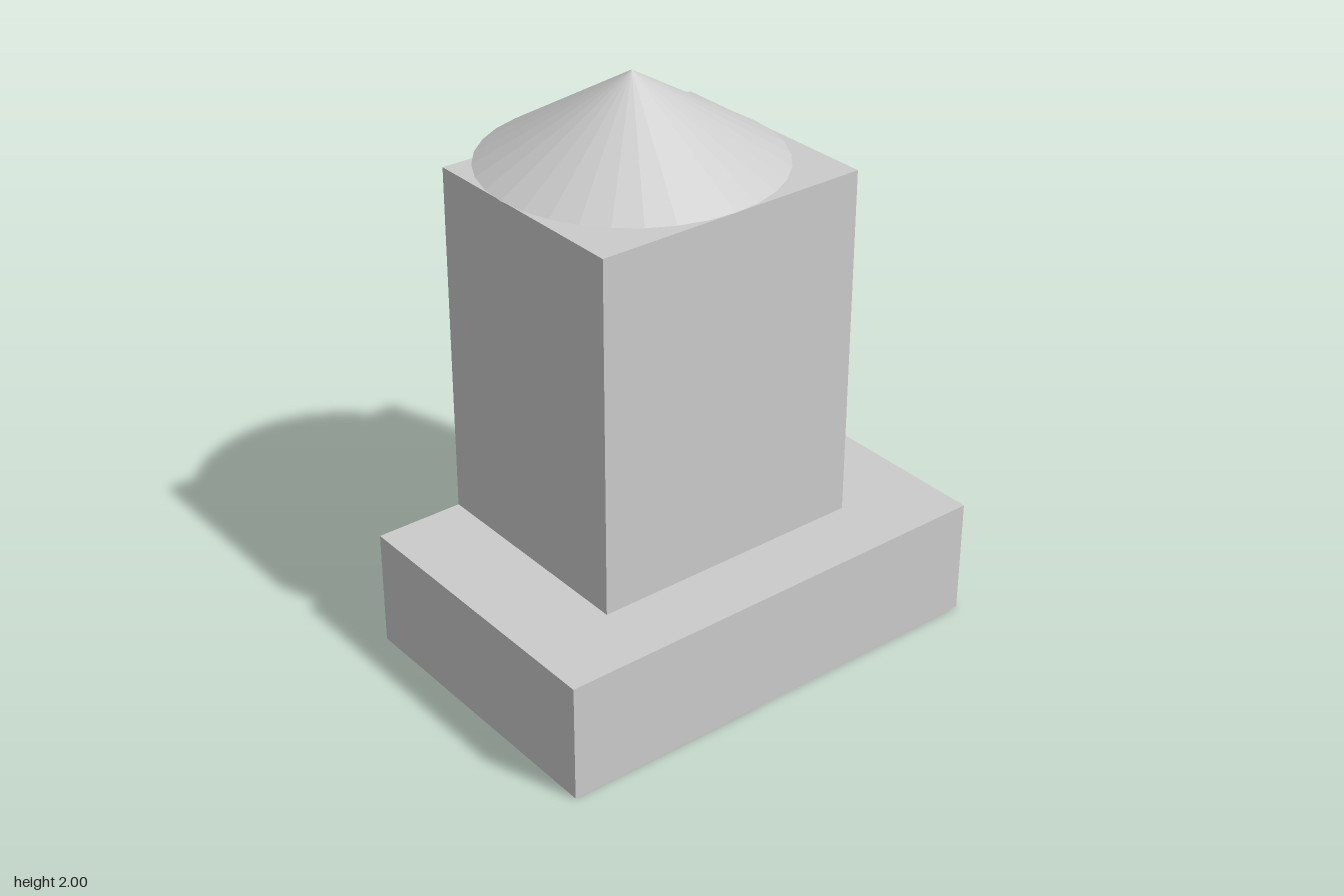
import * as THREE from 'three';

const grey = new THREE.MeshStandardMaterial({ color: 0xcccccc, flatShading: true });
const thin = new THREE.MeshStandardMaterial({ color: 0xcccccc, flatShading: true, side: THREE.DoubleSide });

function add(parent, name, geometry, x, y, z, material = grey) {
  const mesh = new THREE.Mesh(geometry, material);
  mesh.name = name;
  mesh.position.set(x, y, z);
  parent.add(mesh);
  return mesh;
}

// Box given by its lower and upper corners
function addBox(parent, name, [x0, y0, z0], [x1, y1, z1]) {
  return add(parent, name, new THREE.BoxGeometry(x1 - x0, y1 - y0, z1 - z0),
    (x0 + x1) / 2, (y0 + y1) / 2, (z0 + z1) / 2);
}

export function createModel() {
  const model = new THREE.Group();
  model.name = 'towerBuilding';
  const back = -0.415;

  // Wide base and tower share one flush back wall
  addBox(model, 'base', [-0.84, 0, back], [0.84, 0.423, 0.675]);
  addBox(model, 'tower', [-0.52, 0.423, back], [0.5, 1.693, 0.425]);

  // Conical roof, overhanging the back
  add(model, 'roof', new THREE.ConeGeometry(0.515, 0.307, 32), -0.008, 1.8465, -0.09);

  // Thin-walled doorway, open to the back
  const doorway = new THREE.Group();
  doorway.name = 'doorway';
  doorway.position.set(-0.009, 0.342, (back - 0.675) / 2);
  model.add(doorway);
  const w = 0.44, h = 0.653, d = 0.26;
  for (const [side, name] of [[1, 'left'], [-1, 'right']]) {
    add(doorway, name + 'DoorwayWall', new THREE.PlaneGeometry(d, h), side * w / 2, 0, 0, thin)
      .rotation.y = side * Math.PI / 2;
  }
  for (const [side, name] of [[1, 'doorwayCeiling'], [-1, 'doorwayFloor']]) {
    add(doorway, name, new THREE.PlaneGeometry(w, d), 0, side * h / 2, 0, thin)
      .rotation.x = -side * Math.PI / 2;
  }
  return model;
}
